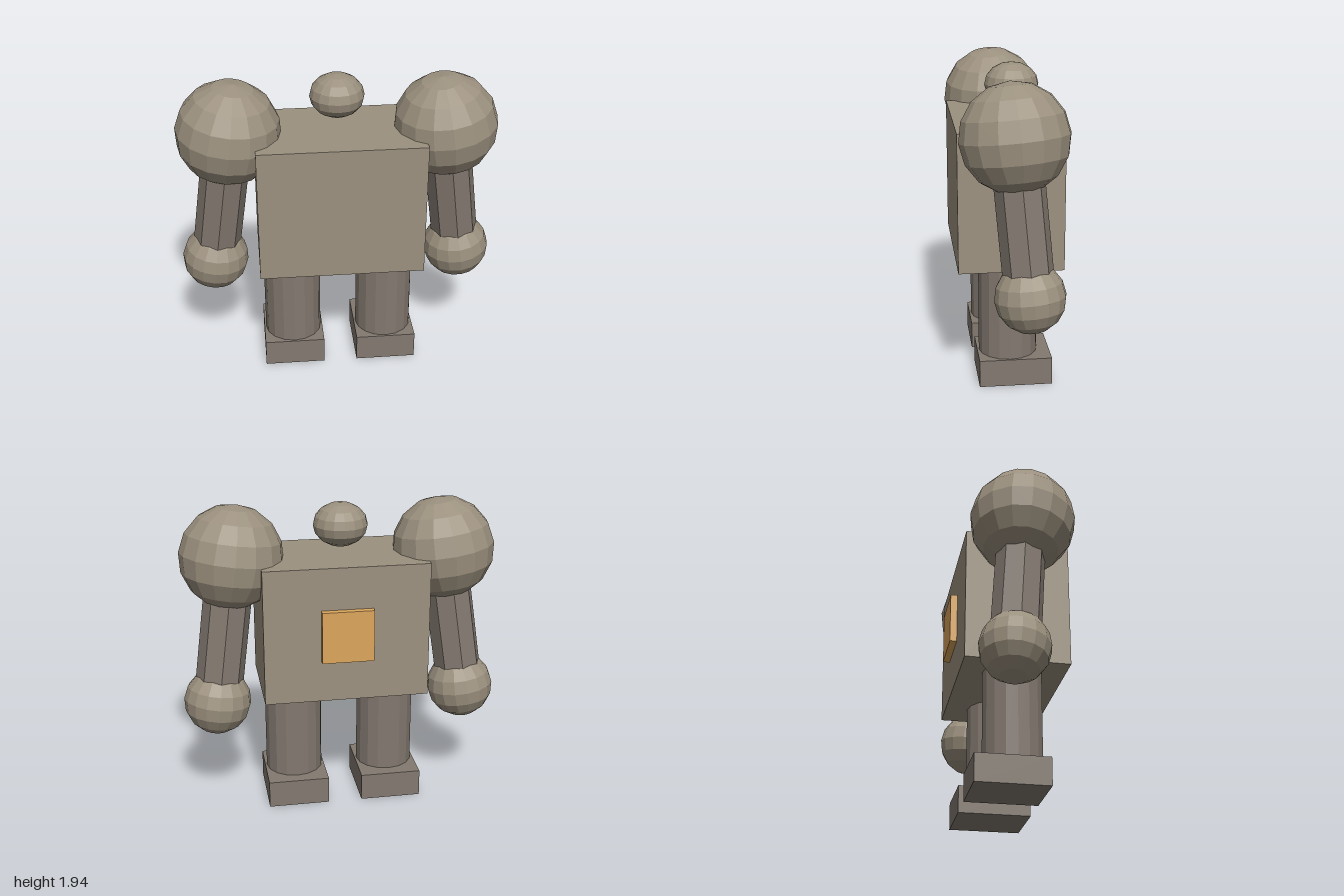
import * as THREE from 'three';

const stone = new THREE.MeshStandardMaterial({ color: 0x9c917f, flatShading: true });
const darkStone = new THREE.MeshStandardMaterial({ color: 0x837970, flatShading: true });
const amber = new THREE.MeshStandardMaterial({ color: 0xdca75c, flatShading: true });

function add(parent, name, geometry, material, x = 0, y = 0, z = 0) {
  const mesh = new THREE.Mesh(geometry, material);
  mesh.name = name;
  mesh.position.set(x, y, z);
  parent.add(mesh);
  return mesh;
}

// Arm hangs along its own -y axis from the shoulder centre, swung out and back
function makeArm(name, side) {
  const arm = new THREE.Group();
  arm.name = name;
  const length = 0.925;
  add(arm, 'shoulder', new THREE.SphereGeometry(0.322, 16, 8), stone);
  add(arm, 'forearm', new THREE.CylinderGeometry(0.15, 0.15, length, 8), darkStone, 0, -length / 2, 0);
  add(arm, 'fist', new THREE.SphereGeometry(0.211, 16, 8), stone, 0, -length, 0);
  arm.position.set(side * 0.663, 1.613, 0.021);
  const down = new THREE.Vector3(side * 0.125, -0.915, -0.076).normalize();
  arm.quaternion.setFromUnitVectors(new THREE.Vector3(0, -1, 0), down);
  return arm;
}

// Round leg on a flat block foot
function makeLeg(name, side) {
  const leg = new THREE.Group();
  leg.name = name;
  add(leg, 'shin', new THREE.CylinderGeometry(0.182, 0.182, 0.64, 16), darkStone, 0, 0.49, 0.022);
  add(leg, 'foot', new THREE.BoxGeometry(0.385, 0.173, 0.45), darkStone, 0, 0.0865, -0.01);
  leg.position.x = side * 0.3;
  return leg;
}

export function createModel() {
  const model = new THREE.Group();
  model.name = 'golem';

  // Torso with back plate
  add(model, 'torso', new THREE.BoxGeometry(1.02, 0.853, 0.64), stone, 0, 1.182, 0.02);
  add(model, 'backPlate', new THREE.BoxGeometry(0.32, 0.325, 0.08), amber, 0, 1.183, -0.303);

  // Squashed floating head
  const head = add(model, 'head', new THREE.SphereGeometry(0.168, 16, 8), stone, 0, 1.805, -0.036);
  head.scale.y = 0.8;

  // Limbs
  for (const [label, side] of [['left', 1], ['right', -1]]) {
    model.add(makeArm(label + 'Arm', side), makeLeg(label + 'Leg', side));
  }
  return model;
}
